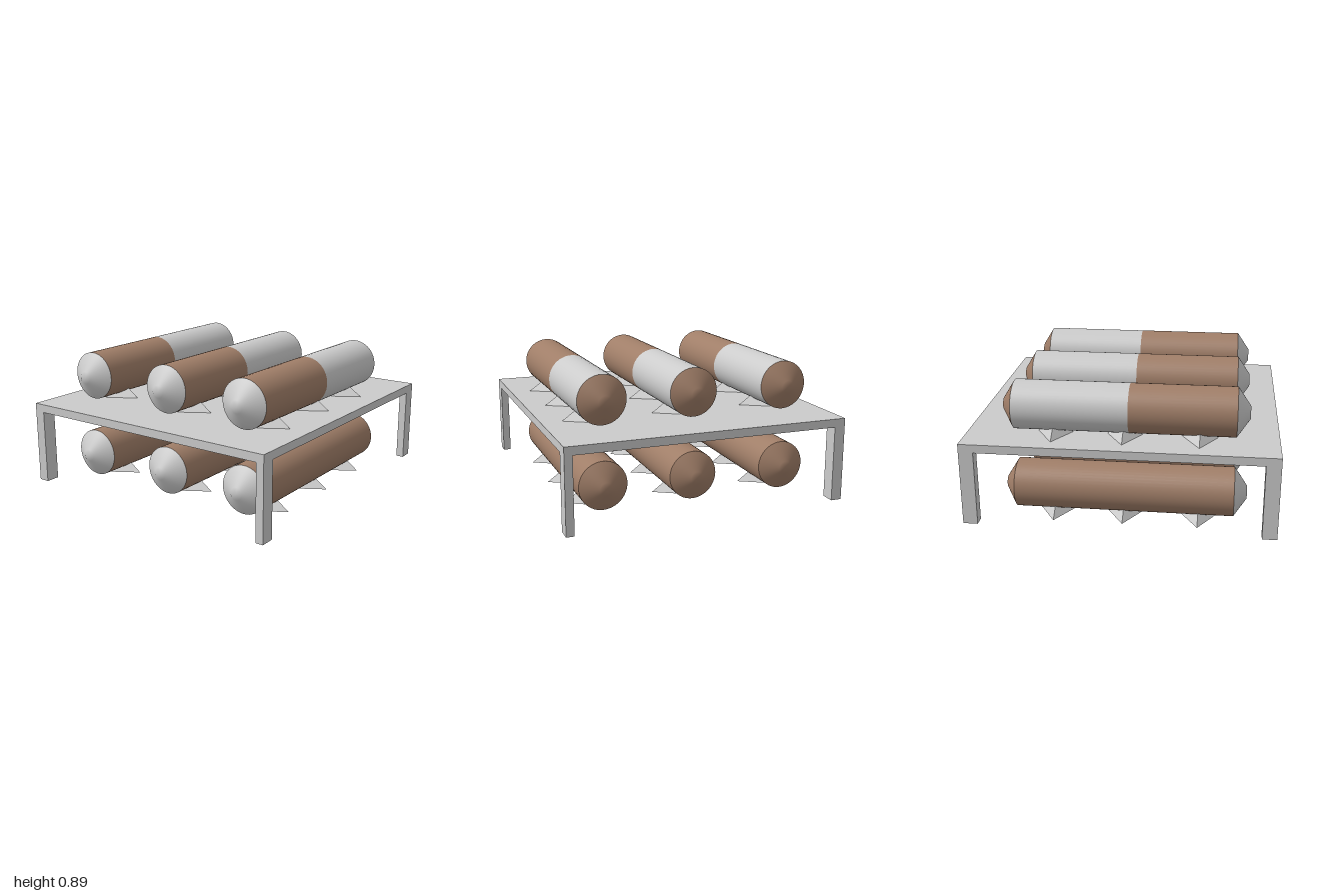
import * as THREE from 'three';

const grey = new THREE.MeshStandardMaterial({ color: 0xcccccc });
const brown = new THREE.MeshStandardMaterial({ color: 0xa07e68 });
const facetedGrey = new THREE.MeshStandardMaterial({ color: 0xcccccc, flatShading: true });

const R = 0.16, TIP = 0.042;
const X0 = -0.725, X1 = 0.69;       // ends of the straight tank body
const END0 = -0.807, END1 = 0.762;  // blunt tips of the caps

function add(parent, name, geometry, material, x = 0, y = 0, z = 0) {
  const mesh = new THREE.Mesh(geometry, material);
  mesh.name = name;
  mesh.position.set(x, y, z);
  parent.add(mesh);
  return mesh;
}

// Box given by its minimum and maximum corners
function addBox(parent, name, [x0, y0, z0], [x1, y1, z1]) {
  add(parent, name, new THREE.BoxGeometry(x1 - x0, y1 - y0, z1 - z0), grey,
    (x0 + x1) / 2, (y0 + y1) / 2, (z0 + z1) / 2);
}

// Surface of revolution around the x axis from [radius, x] pairs, x ascending
function revolve(points) {
  const profile = points.map(([r, x]) => new THREE.Vector2(r, x));
  return new THREE.LatheGeometry(profile, 48).rotateZ(-Math.PI / 2);
}

// Tank lying along x; split is where the brown half meets the grey half
function makeTank(split) {
  const tank = new THREE.Group();
  tank.name = 'tank';
  add(tank, 'rightCap', revolve([[0, END0], [TIP, END0], [R, X0]]), grey);
  add(tank, 'brownBody', revolve([[R, X0], [R, split]]), brown);
  if (split < X1) add(tank, 'greyBody', revolve([[R, split], [R, X1]]), grey);
  add(tank, 'leftCap', revolve([[R, X1], [TIP, END1], [0, END1]]), brown);
  return tank;
}

export function createModel() {
  const model = new THREE.Group();
  model.name = 'tankRack';

  // Table
  const table = new THREE.Group();
  table.name = 'table';
  model.add(table);
  addBox(table, 'tableTop', [-1, 0.495, -0.93], [1, 0.55, 0.93]);
  for (const [x0, x1] of [[-1, -0.905], [0.905, 1]]) {
    addBox(table, 'frontLeg', [x0, 0, 0.878], [x1, 0.495, 0.93]);
    addBox(table, 'backLeg', [x0, 0, -0.93], [x1, 0.495, -0.858]);
  }

  // Rows of tanks, on the ground and on the table
  const rows = [
    { z: 0.605, split: 0 },
    { z: -0.003, split: -0.035 },
    { z: -0.64, split: -0.05 },
  ];
  // Four-sided pyramid with a diamond base, its apex hidden in the tank
  const supportGeometry = new THREE.ConeGeometry(1, 0.135, 4).scale(0.113, 1, 0.188);

  for (const [name, floor] of [['lowerRow', 0], ['upperRow', 0.55]]) {
    const level = new THREE.Group();
    level.name = name;
    level.position.y = floor;
    model.add(level);
    for (const { z, split } of rows) {
      const tank = makeTank(floor > 0 ? split : X1);
      tank.position.set(0, 0.179, z);
      level.add(tank);
      for (const x of [-0.498, -0.016, 0.433]) {
        add(level, 'support', supportGeometry, facetedGrey, x, 0.0675, z);
      }
    }
  }
  return model;
}
